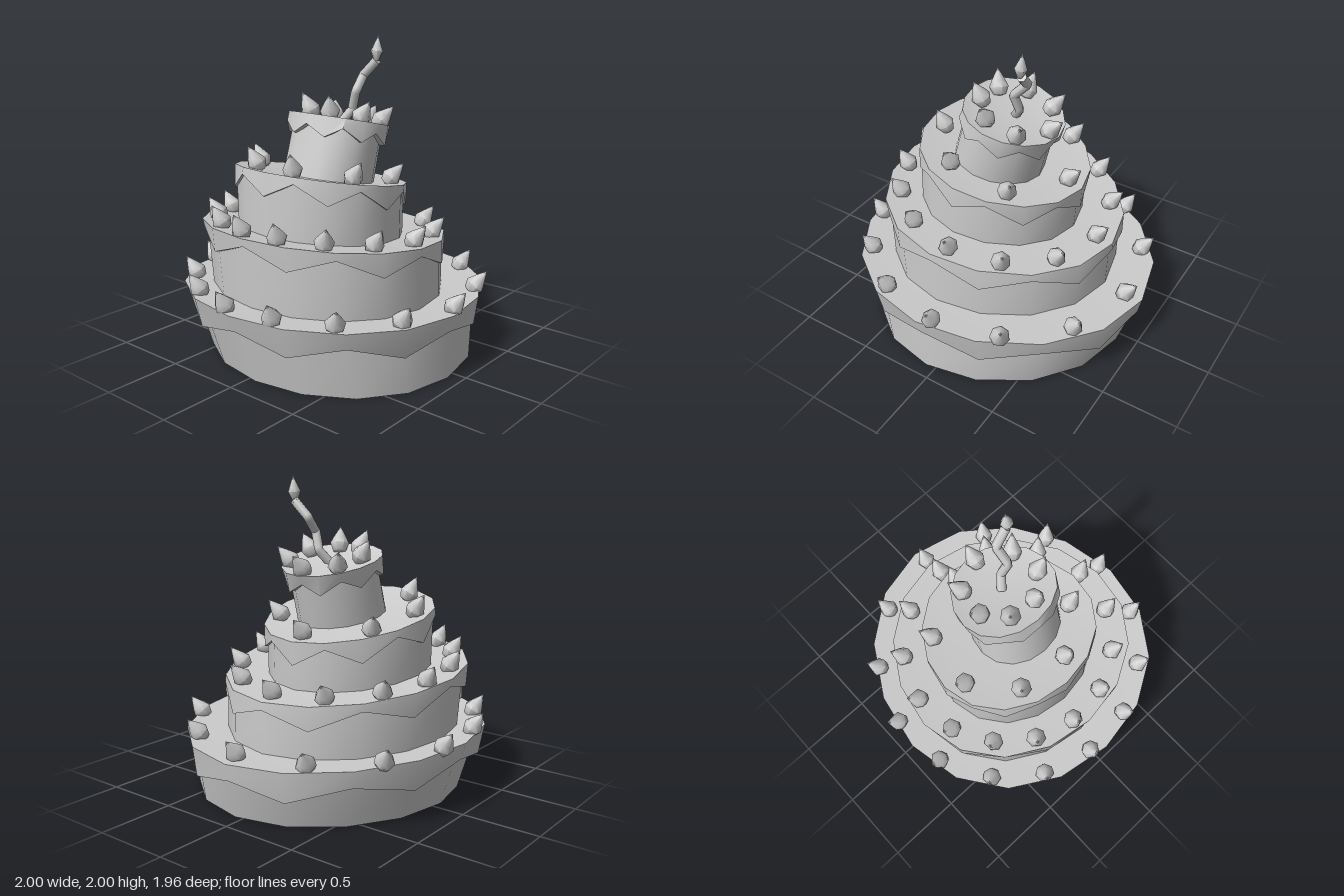
import * as THREE from 'three';
import { toCreasedNormals } from 'three/addons/utils/BufferGeometryUtils.js';

const material = new THREE.MeshStandardMaterial({ color: 0xcccccc });
const SIDES = 16;

function addMesh(parent, geometry, name) {
  const mesh = new THREE.Mesh(geometry, material);
  mesh.name = name;
  parent.add(mesh);
  return mesh;
}

// Skin over stacked rings (bottom to top). Each ring is slightly lopsided, may
// tilt down towards +x (slope) and alternate up and down by corner (zig).
function loft(rings) {
  const corner = ({ x, y, z, r, depth, slope, zig = 0 }, i) => {
    const a = (i / SIDES) * Math.PI * 2;
    const dx = r * (Math.cos(a) - 0.09 * Math.sin(a) ** 2);
    return [x + dx, y - slope * dx + (i % 2 ? -zig : zig), z + r * depth * Math.sin(a)];
  };
  const points = [];
  for (let k = 0; k < rings.length - 1; k++) {
    const low = rings[k], high = rings[k + 1];
    for (let i = 0; i < SIDES; i++) {
      const a = corner(low, i), b = corner(low, i + 1);
      const c = corner(high, i), d = corner(high, i + 1);
      if (low.r > 0) points.push(...a, ...c, ...b);
      if (high.r > 0) points.push(...b, ...c, ...d);
    }
  }
  const geometry = new THREE.BufferGeometry();
  geometry.setAttribute('position', new THREE.Float32BufferAttribute(points, 3));
  return toCreasedNormals(geometry, 0.6);
}

// Pointed drop shape shared by dollops and flame
function drop(profile) {
  const lathe = new THREE.LatheGeometry(profile.map(([r, y]) => new THREE.Vector2(r, y)), 7);
  return toCreasedNormals(lathe.toNonIndexed(), 1.0);
}
const dollopShape = drop([[0, -0.035], [0.042, -0.025], [0.063, 0.025], [0.046, 0.062], [0, 0.145]]);

// foot and neck: lower and upper sponge ring, hem and rim: lower and upper icing
// edge, all as [x, y, z, radius, depth ratio]; dollops: [count, x, z, radius] of their circle.
function makeTier(name, { slope, footSlope, zig, foot, neck, hem, rim, dollops }) {
  const tier = new THREE.Group();
  tier.name = name;
  const ring = ([x, y, z, r, depth = 1], tilt = slope) => ({ x, y, z, r, depth, slope: tilt });

  // Sponge
  const bottom = ring(foot, footSlope), top = ring(neck);
  addMesh(tier, loft([{ ...bottom, r: 0 }, bottom, top, { ...top, r: 0 }]), 'sponge');

  // Icing cap with a zigzag hem and a shallow dish on top
  const lower = { ...ring(hem), zig };
  const upper = ring(rim);
  const underside = { ...lower, r: top.r - 0.02 };
  const dish = { ...upper, r: upper.r * 0.72, y: upper.y - 0.018 };
  addMesh(tier, loft([underside, lower, upper, dish, { ...dish, r: 0 }]), 'icing');

  // Dollops, slightly closer together on the left, lean outwards
  const [count, cx, cz, radius] = dollops;
  for (let i = 0; i < count; i++) {
    const even = (i / count) * Math.PI * 2;
    const a = even + 0.065 + 0.15 * Math.sin(even - 0.2);
    const x = cx + radius * Math.cos(a), z = cz + radius * Math.sin(a);
    const dollop = addMesh(tier, dollopShape, 'dollop');
    dollop.position.set(x, upper.y - slope * (x - upper.x) + 0.008, z);
    const lean = new THREE.Vector3(0.72 * Math.cos(a) + 0.08 + slope, 1, 0.72 * Math.sin(a)).normalize();
    dollop.quaternion.setFromUnitVectors(new THREE.Vector3(0, 1, 0), lean);
  }
  return tier;
}

// Crooked candle with a closed tip and a flame
function makeCandle() {
  const candle = new THREE.Group();
  candle.name = 'candle';
  const bends = [
    new THREE.Vector3(0.03, 1.45, -0.01),
    new THREE.Vector3(0.085, 1.53, 0.035),
    new THREE.Vector3(0.067, 1.645, 0.075),
    new THREE.Vector3(0.16, 1.745, 0.065),
    new THREE.Vector3(0.175, 1.838, 0.155),
  ];
  const path = new THREE.CurvePath();
  for (let i = 1; i < bends.length; i++) path.add(new THREE.LineCurve3(bends[i - 1], bends[i]));
  addMesh(candle, new THREE.TubeGeometry(path, 24, 0.03, 7), 'stick');

  const tip = addMesh(candle, new THREE.CylinderGeometry(0.03, 0.03, 0.012, 7), 'tip');
  tip.position.copy(bends[4]);
  tip.quaternion.setFromUnitVectors(new THREE.Vector3(0, 1, 0), bends[4].clone().sub(bends[3]).normalize());

  const flame = addMesh(candle, drop([[0, 0], [0.016, 0.005], [0.04, 0.065], [0.028, 0.095], [0, 0.165]]), 'flame');
  flame.position.set(0.165, 1.835, 0.163);
  flame.rotation.z = -0.12;
  return candle;
}

export function createModel() {
  const cake = new THREE.Group();
  cake.name = 'tieredCake';
  cake.add(makeTier('bottomTier', {
    slope: 0.035, footSlope: 0, zig: 0.04,
    foot: [0.01, 0, 0.055, 0.858], neck: [0.01, 0.31, 0.01, 0.94, 0.96],
    hem: [0.01, 0.265, 0, 0.965, 0.96], rim: [0, 0.415, 0, 0.997, 0.96],
    dollops: [14, -0.03, -0.01, 0.9],
  }));
  cake.add(makeTier('secondTier', {
    slope: 0.109, footSlope: 0.035, zig: 0.05,
    foot: [-0.035, 0.38, -0.03, 0.75], neck: [-0.045, 0.74, -0.045, 0.76],
    hem: [-0.045, 0.685, -0.045, 0.782], rim: [-0.05, 0.785, -0.05, 0.785],
    dollops: [14, -0.07, -0.06, 0.68],
  }));
  cake.add(makeTier('thirdTier', {
    slope: 0.187, footSlope: 0.109, zig: -0.053,
    foot: [-0.085, 0.76, -0.06, 0.53], neck: [-0.075, 1.08, -0.07, 0.535],
    hem: [-0.072, 1.03, -0.07, 0.552], rim: [-0.065, 1.125, -0.07, 0.55],
    dollops: [7, -0.06, -0.09, 0.43],
  }));
  cake.add(makeTier('topTier', {
    slope: 0.24, footSlope: 0.187, zig: 0.034,
    foot: [-0.08, 1.1, -0.01, 0.287], neck: [0.005, 1.41, -0.005, 0.275, 1.04],
    hem: [0, 1.38, -0.005, 0.308, 1.05], rim: [0.03, 1.472, -0.01, 0.312, 1.05],
    dollops: [7, 0.05, 0, 0.22],
  }));
  cake.add(makeCandle());
  return cake;
}
